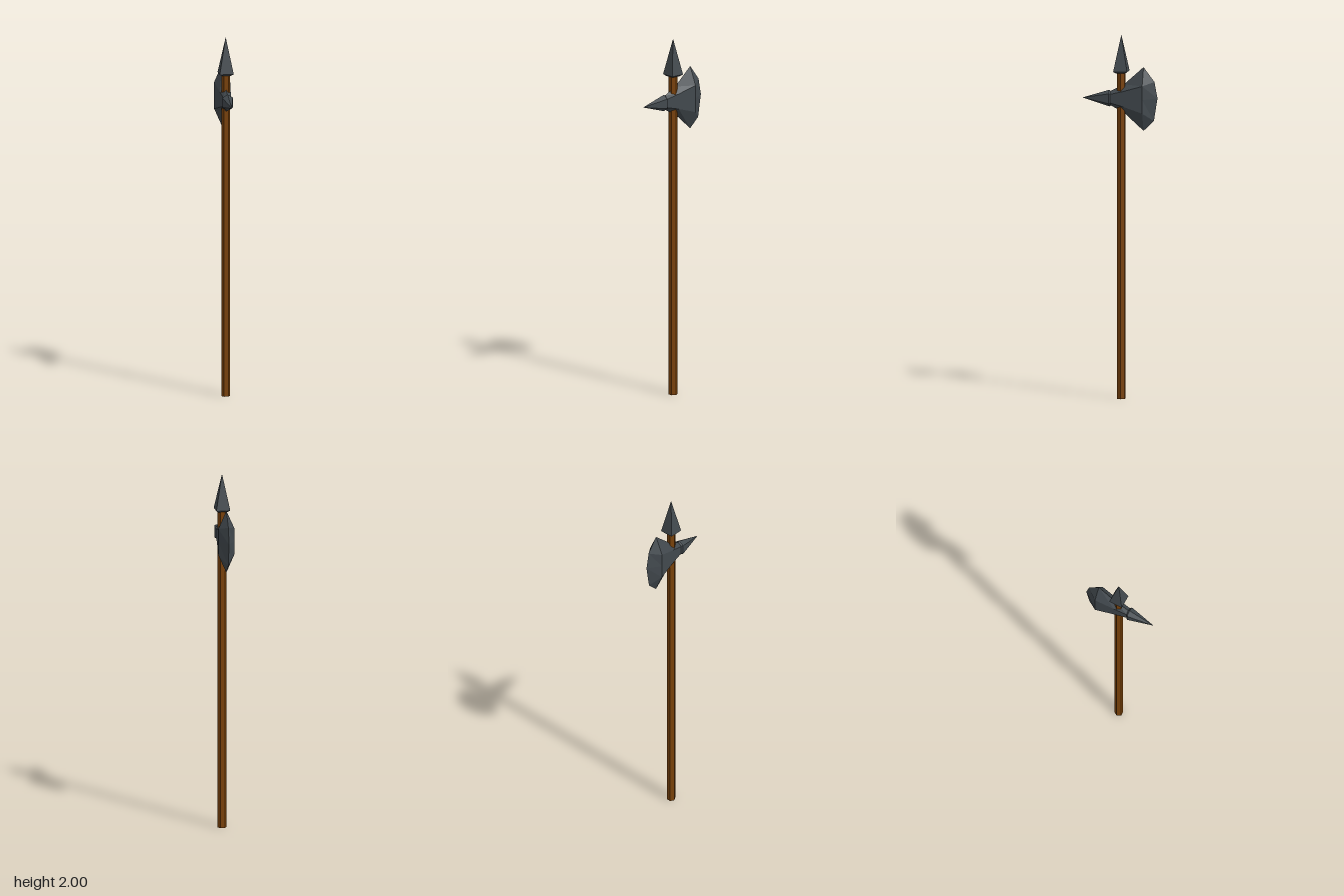
import * as THREE from 'three';

// Eight-point ring across the head: top ridge, flat right cheek, bottom ridge, left cheek
function section(z, ridge, halfX, cheek) {
  return [
    [0, ridge, z], [halfX, cheek, z], [halfX, 0, z], [halfX, -cheek, z],
    [0, -ridge, z], [-halfX, -cheek, z], [-halfX, 0, z], [-halfX, cheek, z],
  ];
}

// Joins rings running from +z to -z into a faceted skin
function loft(rings) {
  const pos = [];
  const same = (p, q) => p.every((v, k) => Math.abs(v - q[k]) < 1e-6);
  const tri = (a, b, c) => {
    if (!same(a, b) && !same(b, c) && !same(a, c)) pos.push(...a, ...b, ...c);
  };
  for (let i = 0; i < rings.length - 1; i++) {
    for (let j = 0; j < 8; j++) {
      const k = (j + 1) % 8;
      tri(rings[i][j], rings[i][k], rings[i + 1][k]);
      tri(rings[i][j], rings[i + 1][k], rings[i + 1][j]);
    }
  }
  const geo = new THREE.BufferGeometry();
  geo.setAttribute('position', new THREE.Float32BufferAttribute(pos, 3));
  geo.computeVertexNormals();
  return geo;
}

export function createModel() {
  const wood = new THREE.MeshStandardMaterial({ color: 0x7a4209, flatShading: true });
  wood.name = 'wood';
  const iron = new THREE.MeshStandardMaterial({ color: 0x42494e, flatShading: true });
  iron.name = 'dark iron';

  const model = new THREE.Group();
  model.name = 'halberd';
  const add = (name, geo, mat, y) => {
    const mesh = new THREE.Mesh(geo, mat);
    mesh.name = name;
    mesh.position.y = y;
    model.add(mesh);
    return mesh;
  };

  // Six-sided pole
  add('pole', new THREE.CylinderGeometry(0.024, 0.024, 1.81, 6).rotateY(Math.PI / 6), wood, 0.905);

  // Four-sided spear point with a small bevelled underside
  const r = 0.0385 * Math.SQRT2;
  add('spearPoint', new THREE.ConeGeometry(r, 0.2, 4, 1, true).rotateY(Math.PI / 4), iron, 1.9);
  add('spearCollar', new THREE.CylinderGeometry(r, 0.036, 0.01, 4).rotateY(Math.PI / 4), iron, 1.795);

  // Back spike, ending in a groove at the neck
  add('spike', loft([
    section(0.215, 0, 0, 0),
    section(0.066, 0.046, 0.029, 0.027),
    section(0.058, 0.040, 0.021, 0.024),
  ]), iron, 1.65);

  // Axe body flaring into the blade, closed by a curved cutting edge
  const up = [0, 0.095, -0.183], mid = [0, 0.005, -0.2], low = [0, -0.12, -0.18];
  add('axeBlade', loft([
    section(0.058, 0.040, 0.021, 0.024),
    section(-0.015, 0.078, 0.030, 0.042),
    section(-0.123, 0.175, 0.044, 0.075),
    [up, up, mid, low, low, low, mid, up],
  ]), iron, 1.65);

  // The whole weapon is turned slightly about its pole
  model.rotation.y = -0.103;
  model.position.set(-0.008, 0, -0.007);

  const root = new THREE.Group();
  root.add(model);
  return root;
}
